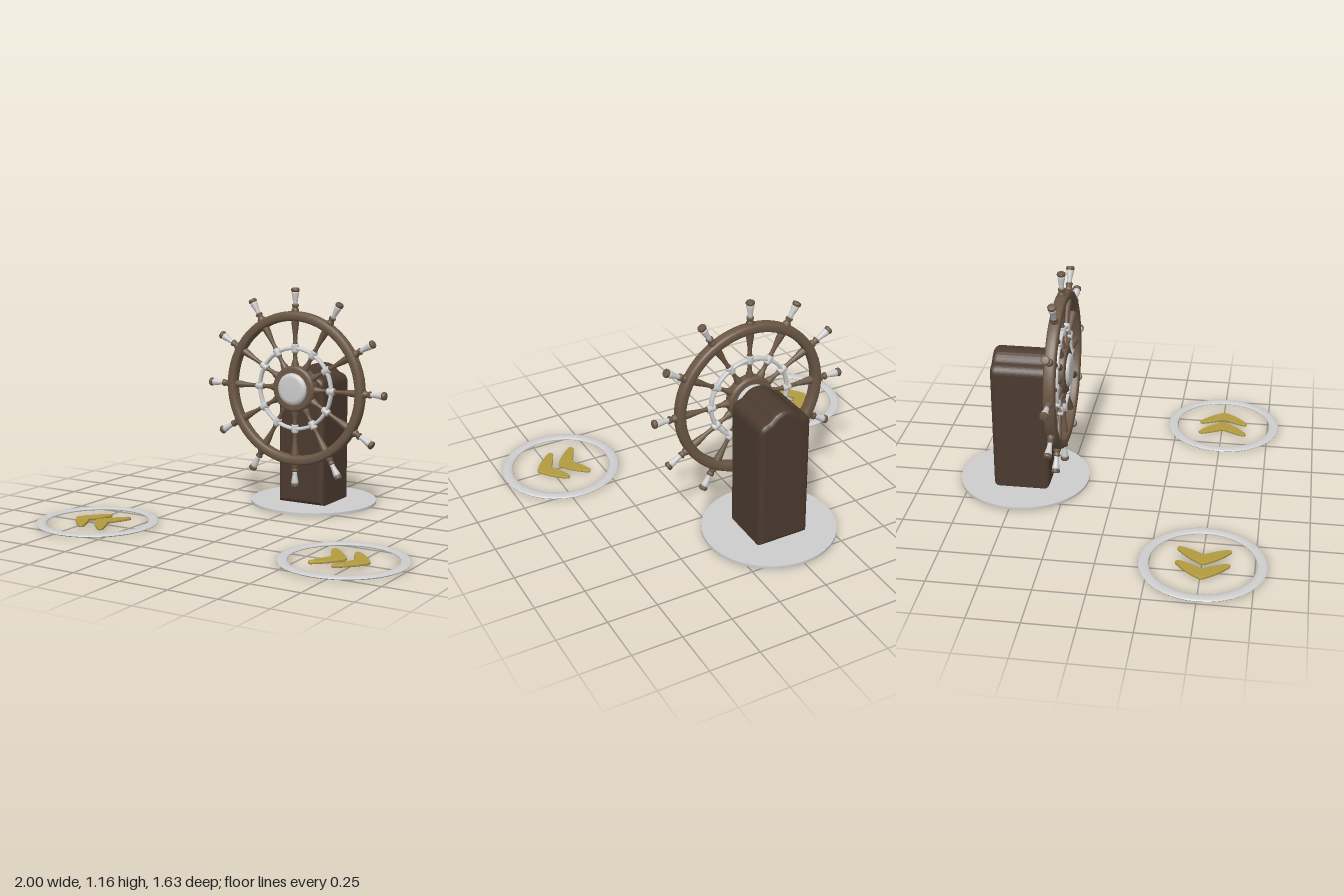
import * as THREE from 'three';

const material = (name, color) => Object.assign(new THREE.MeshStandardMaterial({ color }), { name });

export function createModel() {
  const darkWood = material('dark wood', 0x4b3a2e);
  const wood = material('wood', 0x6b5745);
  const silver = material('silver', 0xcdcdcd);
  const gold = material('gold', 0xb29b3f);

  const model = new THREE.Group();
  model.name = 'shipsWheelStand';

  const add = (parent, name, geometry, mat, x = 0, y = 0, z = 0) => {
    const mesh = new THREE.Mesh(geometry, mat);
    mesh.name = name;
    mesh.position.set(x, y, z);
    parent.add(mesh);
    return mesh;
  };
  const lathe = (pts, sides) =>
    new THREE.LatheGeometry(pts.map(([r, y]) => new THREE.Vector2(r, y)), sides);
  // Ring around y with a softly squared section (power 1 = ellipse)
  const ring = (radius, a, b, power, sides) => {
    const pts = [];
    const soft = (v) => Math.sign(v) * Math.abs(v) ** power;
    for (let i = 0; i <= 16; i++) {
      const t = (i / 16) * Math.PI * 2;
      pts.push([radius + a * soft(Math.cos(t)), b * soft(Math.sin(t))]);
    }
    return lathe(pts, sides);
  };

  // Base plate
  add(model, 'basePlate', new THREE.CylinderGeometry(0.335, 0.335, 0.014, 48), silver, 0, 0.007, -0.48);

  // Post: rounded shoulders rising to a central hump, run along z
  const bevel = 0.025;
  const profile = new THREE.Shape();
  profile.moveTo(-0.11, 0.04);
  profile.lineTo(0.11, 0.04);
  profile.lineTo(0.11, 0.645);
  profile.quadraticCurveTo(0.108, 0.662, 0.09, 0.667);
  profile.bezierCurveTo(0.05, 0.675, 0.05, 0.715, 0, 0.715);
  profile.bezierCurveTo(-0.05, 0.715, -0.05, 0.675, -0.09, 0.667);
  profile.quadraticCurveTo(-0.108, 0.662, -0.11, 0.645);
  profile.closePath();
  add(model, 'post', new THREE.ExtrudeGeometry(profile, {
    depth: 0.29 - 2 * bevel, bevelEnabled: true, bevelThickness: bevel,
    bevelSize: bevel, bevelSegments: 4, curveSegments: 8,
  }), darkWood, 0, 0, -0.62 + bevel);

  // Wheel, built facing +z around its own centre
  const wheel = new THREE.Group();
  wheel.name = 'wheel';
  wheel.position.set(0, 0.637, -0.272);
  model.add(wheel);

  const face = (name, geometry, mat, z = 0) => add(wheel, name, geometry.rotateX(Math.PI / 2), mat, 0, 0, z);
  face('rim', ring(0.376, 0.025, 0.03, 0.65, 64), wood);
  face('innerRing', ring(0.21, 0.009, 0.014, 0.7, 48), silver);
  face('hub', lathe([[0, -0.028], [0.105, -0.028], [0.116, -0.024], [0.12, -0.014],
    [0.12, 0.014], [0.116, 0.024], [0.105, 0.028], [0, 0.028]], 40), wood);
  face('hubCaps', lathe([[0, -0.046], [0.06, -0.046], [0.076, -0.041], [0.084, -0.03],
    [0.084, 0.03], [0.076, 0.041], [0.06, 0.046], [0, 0.046]], 40), silver);
  face('axle', new THREE.CylinderGeometry(0.04, 0.04, 0.06, 24), darkWood, -0.06);

  // Twelve turned spokes, each ending in a handle
  const spokeGeometry = lathe([[0.019, 0.1], [0.019, 0.13], [0.012, 0.15], [0.01, 0.175],
    [0.014, 0.19], [0.014, 0.23], [0.01, 0.245], [0.012, 0.28], [0.018, 0.325], [0.02, 0.355]], 12);
  const collarGeometry = lathe([[0, 0.188], [0.016, 0.188], [0.019, 0.195], [0.019, 0.225],
    [0.016, 0.232], [0, 0.232]], 12);
  const neckGeometry = lathe([[0.02, 0.39], [0.02, 0.408], [0.016, 0.413], [0.014, 0.42],
    [0.018, 0.428], [0.018, 0.436], [0, 0.438]], 12);
  const handleGeometry = lathe([[0, 0.432], [0.013, 0.432], [0.012, 0.445], [0.014, 0.465],
    [0.019, 0.49], [0.018, 0.503], [0, 0.505]], 12);
  const tipGeometry = lathe([[0, 0.5], [0.018, 0.5], [0.022, 0.506], [0.021, 0.516], [0.017, 0.52], [0, 0.52]], 12);
  for (let i = 0; i < 12; i++) {
    const spoke = new THREE.Group();
    spoke.name = 'spoke';
    spoke.rotation.z = (i * Math.PI) / 6;
    add(spoke, 'shaft', spokeGeometry, wood);
    add(spoke, 'collar', collarGeometry, silver);
    add(spoke, 'neck', neckGeometry, wood);
    add(spoke, 'handle', handleGeometry, silver);
    add(spoke, 'tip', tipGeometry, wood);
    wheel.add(spoke);
  }

  // Chevron pointing to +x, drawn flat with swept, rounded arms
  const chevron = new THREE.Shape();
  chevron.moveTo(0.132, 0.012);
  chevron.quadraticCurveTo(0.094, 0.075, 0.025, 0.128);
  chevron.quadraticCurveTo(0.008, 0.135, 0.004, 0.113);
  chevron.quadraticCurveTo(0.022, 0.06, 0.052, 0.012);
  chevron.quadraticCurveTo(0.058, 0, 0.052, -0.012);
  chevron.quadraticCurveTo(0.022, -0.06, 0.004, -0.113);
  chevron.quadraticCurveTo(0.008, -0.135, 0.025, -0.128);
  chevron.quadraticCurveTo(0.094, -0.075, 0.132, -0.012);
  chevron.quadraticCurveTo(0.138, 0, 0.132, 0.012);
  const chevronGeometry = new THREE.ExtrudeGeometry(chevron, {
    depth: 0.006, bevelEnabled: true, bevelThickness: 0.004, bevelSize: 0.004,
    bevelOffset: -0.004, bevelSegments: 2, curveSegments: 8,
  }).rotateX(-Math.PI / 2);

  // Floor markers on both sides, arrows pointing outward
  const markerRing = ring(0.28, 0.026, 0.008, 1, 36);
  for (const side of [1, -1]) {
    const marker = new THREE.Group();
    marker.name = side > 0 ? 'leftMarker' : 'rightMarker';
    marker.position.set(side * 0.693, 0, 0.505);
    marker.rotation.y = side > 0 ? 0 : Math.PI;
    add(marker, 'markerRing', markerRing, silver, 0, 0.012, 0);
    for (const x of [-0.123, -0.005]) add(marker, 'arrow', chevronGeometry, gold, x, 0.012, 0);
    model.add(marker);
  }
  return model;
}
